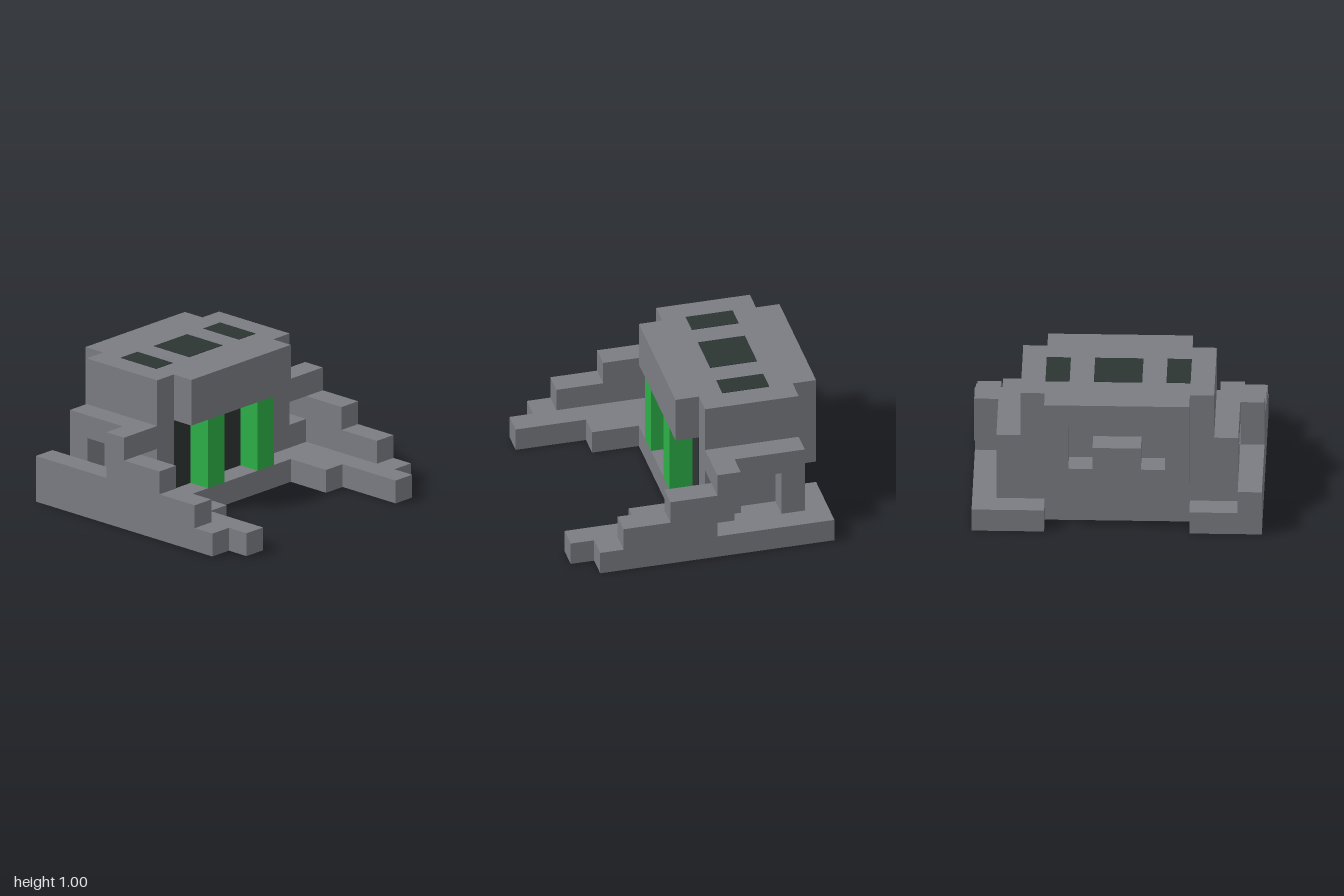
import * as THREE from 'three';

const U = 1 / 6; // one block

export function createModel() {
  const model = new THREE.Group();
  model.name = 'blockBuilding';
  const mat = (name, color) => {
    const m = new THREE.MeshStandardMaterial({ color });
    m.name = name;
    return m;
  };
  const stone = mat('stone grey', 0x7c7d83);
  const green = mat('green', 0x2db048);
  const dark = mat('dark panel', 0x2d3533);

  // Box given by its limits in blocks
  const box = (name, material, [x0, x1], [y0, y1], [z0, z1], parent = model) => {
    const g = new THREE.BoxGeometry((x1 - x0) * U, (y1 - y0) * U, (z1 - z0) * U);
    g.translate(((x0 + x1) / 2) * U, ((y0 + y1) / 2) * U, ((z0 + z1) / 2) * U);
    const mesh = new THREE.Mesh(g, material);
    mesh.name = name;
    parent.add(mesh);
    return mesh;
  };
  // Same box mirrored to the other side
  const pair = (name, material, [x0, x1], y, z) => {
    box(name + 'Left', material, [x0, x1], y, z);
    box(name + 'Right', material, [-x1, -x0], y, z);
  };

  // Base slab: half outline (x, z) mirrored, then extruded upward
  const half = [[3, 0.5], [3, 2.5], [4, 2.5], [4, 5.5], [5, 5.5], [5, 4.5],
    [6, 4.5], [6, -5.5], [3, -5.5], [3, -4.5]];
  const outline = [...half, ...half.map(([x, z]) => [-x, z]).reverse()];
  const shape = new THREE.Shape(outline.map(([x, z]) => new THREE.Vector2(x * U, -z * U)));
  const baseGeo = new THREE.ExtrudeGeometry(shape, { depth: U, bevelEnabled: false });
  baseGeo.rotateX(-Math.PI / 2);
  const base = new THREE.Mesh(baseGeo, stone);
  base.name = 'base';
  model.add(base);

  // Main hall and the overhang above the entrance
  box('hall', stone, [-4, 4], [1, 6], [-4.5, -0.5]);
  box('entranceOverhang', stone, [-3, 3], [4, 6], [-0.5, 0.5]);

  // Entrance: dark wall with two green pillars
  box('entrancePanel', dark, [-3, 3], [1, 4], [-0.5, -0.48]);
  pair('pillar', green, [1, 2], [1, 4], [-0.5, 0.5]);

  // Dark roof panels
  box('roofPanelMiddle', dark, [-1, 1], [5.99, 6.02], [-3.5, -1.5]);
  pair('roofPanel', dark, [2, 3], [5.99, 6.02], [-3.5, -1.5]);

  // Rear frame with a recess and a raised block inside it
  box('rearFrameTop', stone, [-3, 3], [5, 6], [-5.5, -4.5]);
  box('rearFrameBottom', stone, [-3, 3], [2, 3], [-5.5, -4.5]);
  pair('rearFrameSide', stone, [2, 3], [3, 5], [-5.5, -4.5]);
  box('rearBlock', stone, [-1, 1], [3, 4], [-5.5, -4.5]);

  // Side galleries, open to the side and the front
  pair('galleryRoof', stone, [4, 5], [3, 4], [-4.5, -0.5]);
  pair('galleryPost', stone, [4, 5], [1, 3], [-4.5, -3.5]);
  pair('gallerySill', stone, [4, 5], [1, 2], [-1.5, -0.5]);

  // Stepped side walls running forward
  pair('wallTopStep', stone, [5, 6], [2, 4], [-1.5, -0.5]);
  pair('wallMiddleStep', stone, [5, 6], [1, 3], [-0.5, 1.5]);
  pair('wallLowStep', stone, [5, 6], [1, 2], [1.5, 3.5]);

  // Low wall on one side only
  box('rearWallRight', stone, [-6, -5], [1, 2], [-5.5, -0.5]);

  return model;
}
